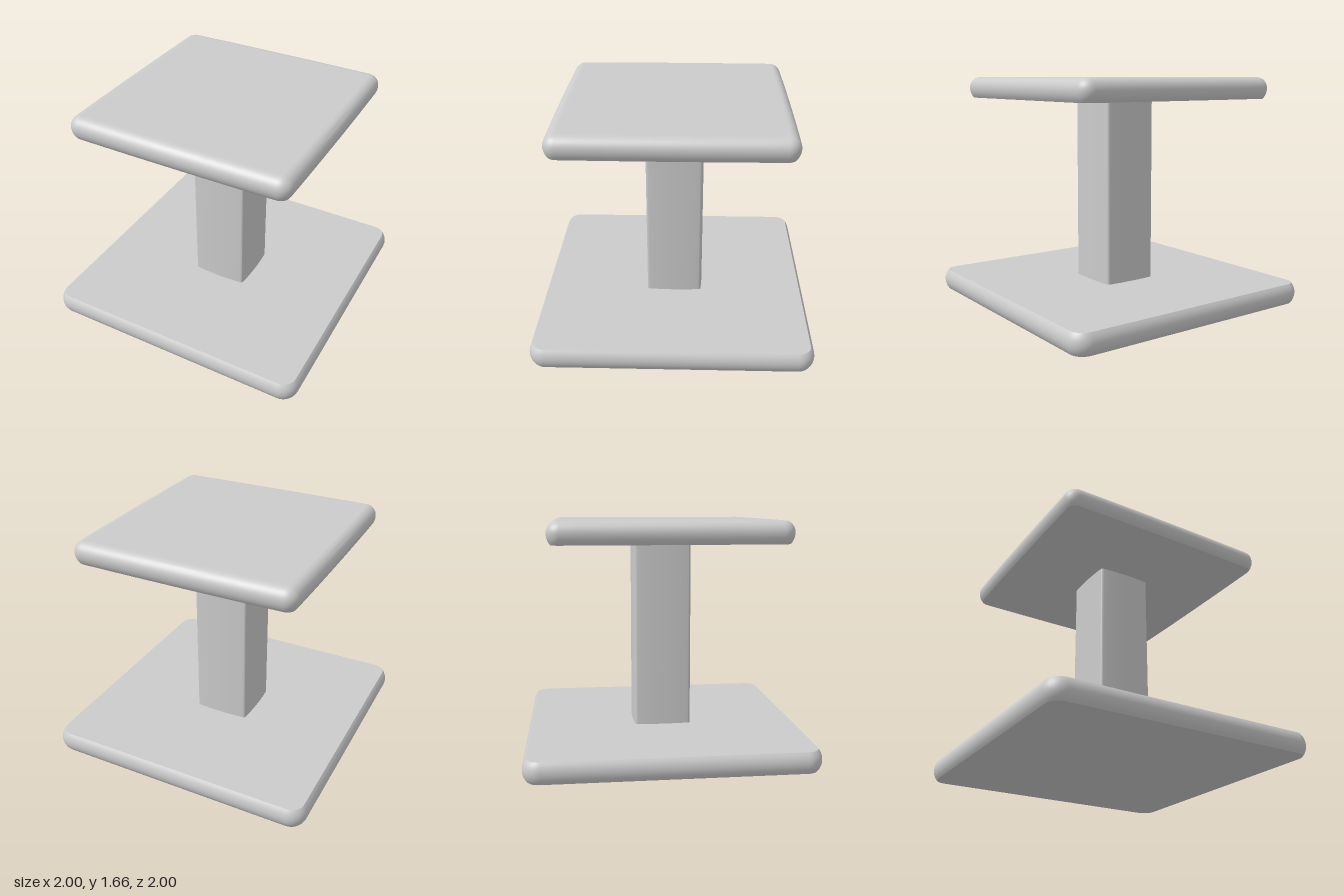
import * as THREE from 'three';
import { toCreasedNormals } from 'three/addons/utils/BufferGeometryUtils.js';

const material = new THREE.MeshStandardMaterial({ color: 0xcccccc });

// Rounded square outline; bow pushes the middle of each side slightly outward
function outline(half, radius, bow) {
  const pts = [], c = half - radius, arc = 8, side = 12;
  for (let q = 0; q < 4; q++) {
    const a0 = q * Math.PI / 2, cos = Math.cos(a0), sin = Math.sin(a0);
    const add = (x, z) => pts.push([x * cos - z * sin, x * sin + z * cos]);
    for (let i = 0; i < side; i++) add(half, -c + 2 * c * i / side);
    for (let i = 0; i < arc; i++) {
      const a = i / arc * Math.PI / 2;
      add(c + radius * Math.cos(a), c + radius * Math.sin(a));
    }
  }
  return pts.map(([x, z]) => [
    x * (1 + bow * (1 - (z / half) ** 2)),
    z * (1 + bow * (1 - (x / half) ** 2)),
  ]);
}

// Stack of outlines following a [y, inset] profile from bottom to top, capped at both ends
function loft(name, profile, half, radius, bow) {
  const pos = [], index = [];
  let n = 0;
  for (const [y, inset] of profile) {
    const ring = outline(half - inset, Math.max(radius - inset, 0.01), bow);
    n = ring.length;
    for (const [x, z] of ring) pos.push(x, y, z);
  }
  const last = (profile.length - 1) * n, bottom = last + n, top = bottom + 1;
  pos.push(0, profile[0][0], 0, 0, profile[profile.length - 1][0], 0);
  for (let i = 0; i < n; i++) {
    const j = (i + 1) % n;
    for (let r = 0; r < last; r += n) {
      index.push(r + i, r + n + i, r + j, r + j, r + n + i, r + n + j);
    }
    index.push(bottom, i, j, top, last + j, last + i);
  }
  const geo = new THREE.BufferGeometry();
  geo.setAttribute('position', new THREE.Float32BufferAttribute(pos, 3));
  geo.setIndex(index);
  const mesh = new THREE.Mesh(toCreasedNormals(geo, 0.55), material);
  mesh.name = name;
  return mesh;
}

export function createModel() {
  const group = new THREE.Group();
  group.name = 'pedestalTable';

  // Base: bulging rim with sharp edges around the flat faces
  const rim = [];
  for (let i = 0; i <= 10; i++) {
    const t = i / 5 - 1;
    rim.push([0.075 * (1 + t), 0.114 - Math.sqrt(0.114 ** 2 - (0.075 * t) ** 2)]);
  }
  group.add(loft('base', rim, 1, 0.12, 0));

  // Column: square post with slightly bowed sides
  group.add(loft('column', [[0.14, 0], [1.53, 0]], 0.203, 0.014, 0.05));

  // Top: sharp lower edge, softly rounded upper edge
  const edge = [];
  for (let i = 0; i < 5; i++) {
    const t = 1 - i / 5;
    edge.push([1.585 - 0.075 * t, 0.114 - Math.sqrt(0.114 ** 2 - (0.075 * t) ** 2)]);
  }
  for (let i = 0; i <= 10; i++) {
    const a = i / 10 * Math.PI / 2;
    edge.push([1.585 + 0.08 * Math.sin(a), 0.075 * (1 - Math.cos(a))]);
  }
  edge.push([1.665, 0.09]);
  group.add(loft('tableTop', edge, 0.815, 0.085, 0.008));

  return group;
}
